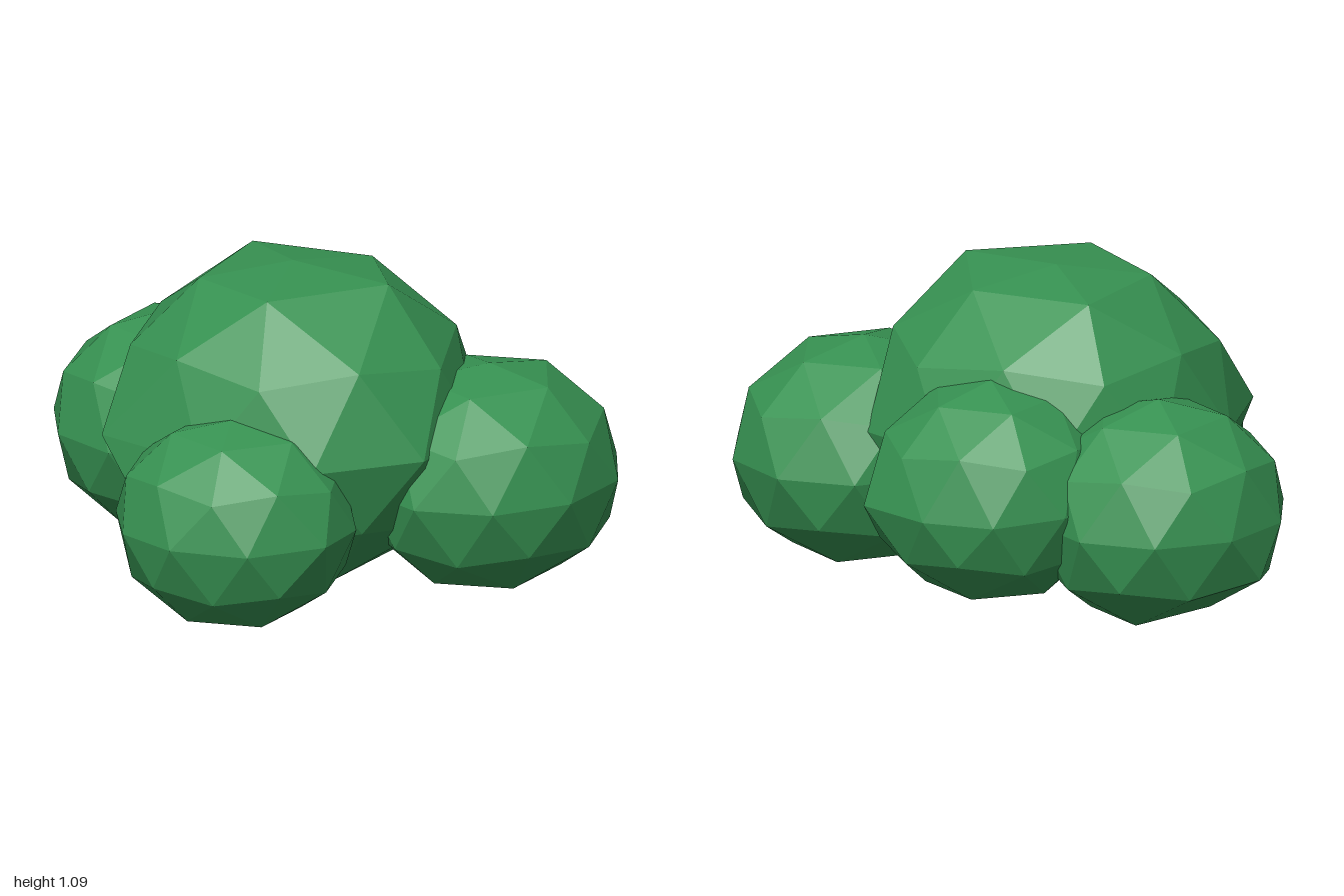
import * as THREE from 'three';

const leaf = new THREE.MeshStandardMaterial({ color: 0x379252 });
leaf.name = 'leafGreen';

// Once-subdivided icosahedron standing on a pole, as a unit ball
function unitBall() {
  const verts = [0, 1, 0], faces = [];
  const y = 1 / Math.sqrt(5), r = 2 * y;
  for (const [side, offset] of [[1, 0], [-1, Math.PI / 5]]) {
    for (let i = 0; i < 5; i++) {
      const a = offset + i * Math.PI * 0.4;
      verts.push(r * Math.cos(a), side * y, r * Math.sin(a));
    }
  }
  verts.push(0, -1, 0);
  for (let i = 0; i < 5; i++) {
    const n = (i + 1) % 5;
    const u = 1 + i, un = 1 + n, l = 6 + i, ln = 6 + n;
    faces.push(0, un, u, u, un, l, un, ln, l, 11, l, ln);
  }
  return new THREE.PolyhedronGeometry(verts, faces, 1, 1);
}

// Leaf clump: a scaled ball whose nearest corners are pulled to the given points
function clump(name, center, radii, pulls) {
  const geo = unitBall();
  geo.scale(...radii).translate(...center);
  const pos = geo.attributes.position;
  const rest = [];
  for (let i = 0; i < pos.count; i++) rest.push(new THREE.Vector3().fromBufferAttribute(pos, i));
  for (const p of pulls) {
    const target = new THREE.Vector3(...p);
    let near = rest[0];
    for (const v of rest) if (v.distanceTo(target) < near.distanceTo(target)) near = v;
    rest.forEach((v, i) => {
      if (v.distanceTo(near) < 1e-4) pos.setXYZ(i, ...p);
    });
  }
  geo.deleteAttribute('normal');
  geo.computeVertexNormals(); // unshared corners give flat facets
  const mesh = new THREE.Mesh(geo, leaf);
  mesh.name = name;
  return mesh;
}

export function createModel() {
  const bush = new THREE.Group();
  bush.name = 'bush';
  bush.add(
    clump('mainClump', [-0.01, 0.57, -0.01], [0.62, 0.56, 0.61], [
      [-0.04, 1.09, -0.03], [0.33, 1.07, -0.03], [0.07, 1.06, 0.31], [-0.32, 1.05, -0.23],
      [0.61, 0.57, 0.2], [0.37, 0.57, 0.51], [-0.44, 0.57, 0.52], [-0.2, 0.31, 0.6],
      [0.57, 0.57, -0.19], [0.35, 0.57, -0.55], [-0.53, 0.3, 0], [-0.38, 0.11, 0], [0, 0.04, -0.02],
    ]),
    clump('rightClump', [-0.6, 0.39, -0.22], [0.42, 0.385, 0.44], [
      [-0.6, 0.02, -0.2], [-1, 0.22, -0.2], [-0.81, 0.1, -0.22],
    ]),
    clump('leftClump', [0.59, 0.405, -0.245], [0.425, 0.39, 0.478], [
      [0.59, 0.785, -0.24], [0.59, 0.04, -0.24], [0.97, 0.57, -0.25], [0.97, 0.21, -0.25],
    ]),
    clump('backClump', [-0.135, 0.455, -0.52], [0.415, 0.375, 0.4], [
      [-0.15, 0.44, -0.92], [0.12, 0.44, -0.88], [-0.38, 0.44, -0.84],
    ]),
    clump('frontClump', [0.08, 0.365, 0.52], [0.41, 0.36, 0.395], [
      [0.07, 0, 0.49], [0.07, 0.37, 0.92], [0.49, 0.37, 0.62], [0.08, 0.72, 0.55],
    ]),
  );
  return bush;
}
